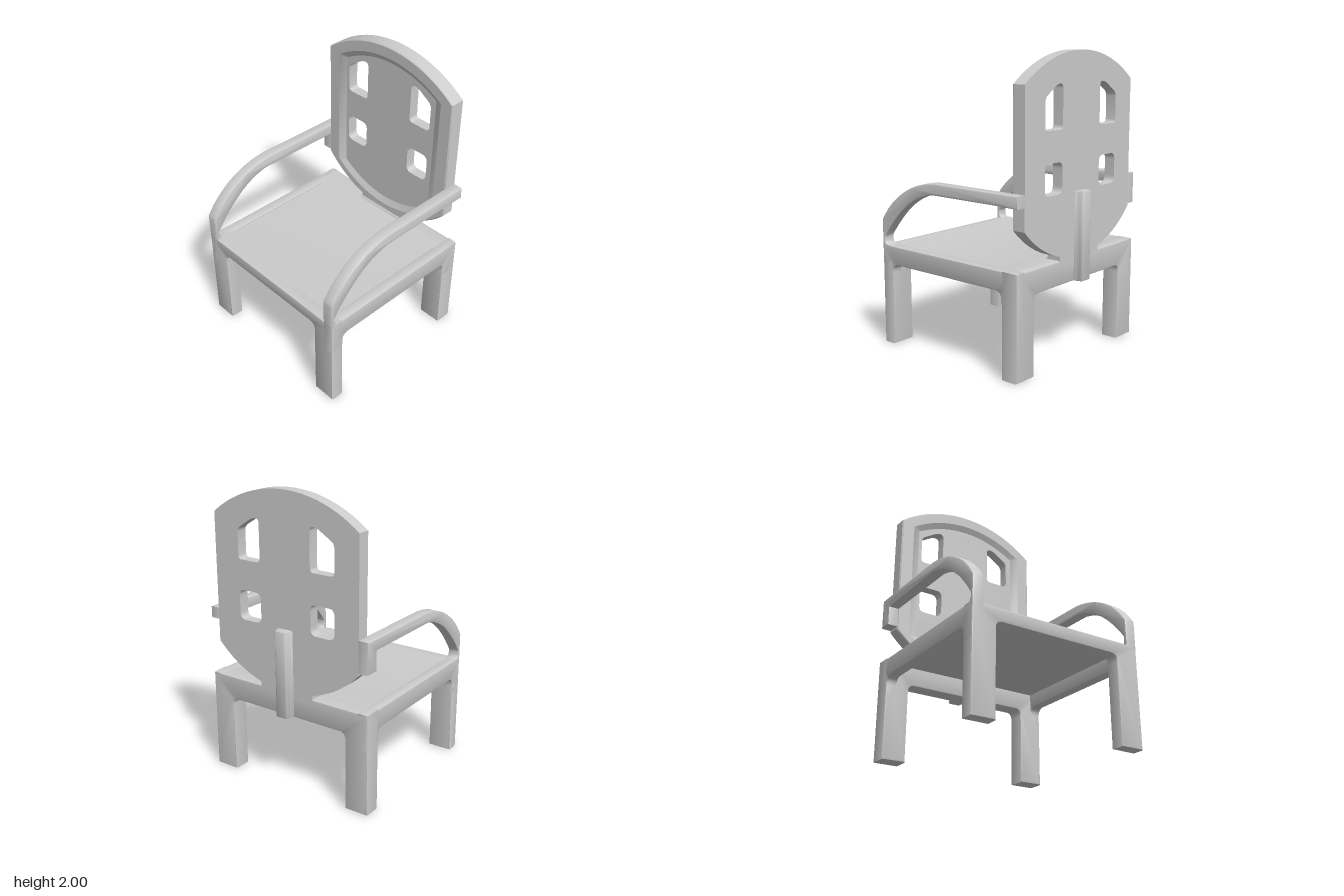
import * as THREE from 'three';
import { toCreasedNormals, mergeVertices } from 'three/addons/utils/BufferGeometryUtils.js';

const material = new THREE.MeshStandardMaterial({ color: 0xcccccc, side: THREE.DoubleSide });

function mesh(name, geometry) {
  const m = new THREE.Mesh(geometry, material);
  m.name = name;
  return m;
}

function polygon(points) {
  return new THREE.Shape(points.map(([x, y]) => new THREE.Vector2(x, y)));
}

// Extrude a shape from z0 to z1 with softly rounded edges
function slab(shape, z0, z1, b = 0.012) {
  const g = new THREE.ExtrudeGeometry(shape, {
    depth: z1 - z0 - 2 * b, curveSegments: 12, bevelEnabled: b > 0,
    bevelSize: b, bevelThickness: b, bevelOffset: -b, bevelSegments: 2,
  });
  g.translate(0, 0, z0 + b);
  return toCreasedNormals(g, 0.6);
}

// Same, for a profile drawn in (z, y) and extruded along x
function sideSlab(shape, x0, x1, b) {
  return slab(shape, -x1, -x0, b).rotateY(-Math.PI / 2);
}

// Two legs joined by a rail, with rounded inner corners
function legFrame(a0, a1, b0, b1, railBottom, foot, r, top = 0.69) {
  const s = new THREE.Shape();
  s.moveTo(a0, foot);
  s.lineTo(a1, foot);
  s.lineTo(a1, railBottom - r);
  s.quadraticCurveTo(a1, railBottom, a1 + r, railBottom);
  s.lineTo(b0 - r, railBottom);
  s.quadraticCurveTo(b0, railBottom, b0, railBottom - r);
  s.lineTo(b0, foot);
  s.lineTo(b1, foot);
  s.lineTo(b1, top);
  s.lineTo(a0, top);
  s.closePath();
  return s;
}

// Polygon with rounded corners
function roundedPath(points, r) {
  const path = new THREE.Path();
  const pts = points.map(([x, y]) => new THREE.Vector2(x, y));
  pts.forEach((p, i) => {
    const toward = (q) => p.clone().add(q.clone().sub(p).setLength(r));
    const a = toward(pts[(i + pts.length - 1) % pts.length]);
    const b = toward(pts[(i + 1) % pts.length]);
    if (i === 0) path.moveTo(a.x, a.y);
    else path.lineTo(a.x, a.y);
    path.quadraticCurveTo(p.x, p.y, b.x, b.y);
  });
  path.closePath();
  return path;
}

// Backrest outline: arched top, straight sides, rounded bottom
function backOutline(halfWidth, top, bottom) {
  const pts = [];
  const n = 32, topR = top - 1.109, lowR = 1.443 - bottom;
  for (let i = 0; i <= n; i++) {
    const a = Math.asin(halfWidth / lowR) * (2 * i / n - 1);
    pts.push(new THREE.Vector2(lowR * Math.sin(a), 1.443 - lowR * Math.cos(a)));
  }
  for (let i = 0; i <= n; i++) {
    const a = Math.asin(halfWidth / topR) * (1 - 2 * i / n);
    pts.push(new THREE.Vector2(topR * Math.sin(a), 1.109 + topR * Math.cos(a)));
  }
  return pts;
}

// Closed strip between two outlines of equal length
function loft(a, za, b, zb) {
  const pos = [], index = [], n = a.length;
  for (let i = 0; i < n; i++) pos.push(a[i].x, a[i].y, za, b[i].x, b[i].y, zb);
  for (let i = 0; i < n; i++) {
    const p = 2 * i, q = 2 * ((i + 1) % n);
    index.push(p, q, p + 1, q, q + 1, p + 1);
  }
  const g = new THREE.BufferGeometry();
  g.setAttribute('position', new THREE.Float32BufferAttribute(pos, 3));
  g.setIndex(index);
  return toCreasedNormals(mergeVertices(g), 0.6);
}

function createBackrest() {
  const group = new THREE.Group();
  group.name = 'backrest';
  const outer = backOutline(0.555, 2.0, 0.69);
  const rimOuter = backOutline(0.547, 1.992, 0.698);
  const rimInner = backOutline(0.46, 1.92, 0.745);
  const floorEdge = backOutline(0.405, 1.88, 0.79);
  const back = -0.57, floor = -0.495, front = -0.473;

  // Panel with four window openings
  const panel = new THREE.Shape(outer);
  for (const [x0, x1, s] of [[0.19, 0.365, 1], [0.2, 0.38, -1]]) {
    panel.holes.push(roundedPath(
      [[s * x0, 1.12], [s * x1, 1.12], [s * x1, 1.32], [s * x0, 1.32]], 0.045));
    panel.holes.push(roundedPath(
      [[s * x0, 1.52], [s * x1, 1.52], [s * x1, 1.72], [s * (x0 + 0.05), 1.8], [s * x0, 1.8]], 0.03));
  }
  group.add(mesh('backPanel', slab(panel, back, floor, 0)));

  // Raised rim: outer wall, softened edge, flat face and slope to the panel
  const face = new THREE.Shape(rimOuter);
  face.holes.push(new THREE.Path(rimInner));
  group.add(mesh('rimWall', loft(outer, floor, outer, front - 0.008)));
  group.add(mesh('rimEdge', loft(outer, front - 0.008, rimOuter, front)));
  group.add(mesh('rimFace', new THREE.ShapeGeometry(face).translate(0, 0, front)));
  group.add(mesh('rimSlope', loft(rimInner, front, floorEdge, floor)));

  // Foot joining the panel to the seat
  const foot = polygon([[back, 0.66], [-0.45, 0.66], [-0.458, 0.69], [front, 0.705], [front, 0.735], [back, 0.735]]);
  group.add(mesh('backFoot', sideSlab(foot, -0.205, 0.205, 0)));

  // Flared brace behind the panel
  const brace = roundedPath([[-0.068, 0.555], [0.068, 0.555], [0.048, 0.59], [0.043, 0.626],
    [-0.043, 0.626], [-0.048, 0.59]], 0.012);
  const braceGeometry = slab(new THREE.Shape(brace.getPoints(4)), 0.53, 1.12, 0.008);
  group.add(mesh('backBrace', braceGeometry.rotateX(-Math.PI / 2)));
  return group;
}

// Curved arm; tailBottom is how far its rear end reaches down the backrest
function createArm(x0, tailBottom) {
  const s = new THREE.Shape();
  s.moveTo(0.625, 0.66);
  s.lineTo(0.625, 0.865);
  s.bezierCurveTo(0.53, 1.025, 0.34, 1.145, 0.13, 1.16);
  s.lineTo(-0.57, 1.16);
  s.lineTo(-0.57, tailBottom);
  s.lineTo(-0.473, tailBottom);
  s.lineTo(-0.473, 1.084);
  s.lineTo(0.14, 1.084);
  s.bezierCurveTo(0.34, 1.06, 0.49, 0.9, 0.6, 0.75);
  s.quadraticCurveTo(0.605, 0.7, 0.57, 0.69);
  s.lineTo(0.57, 0.66);
  s.closePath();
  return sideSlab(s, x0, x0 + 0.08, 0.01);
}

export function createModel() {
  const model = new THREE.Group();
  model.name = 'armchair';

  // Front and back leg frames
  model.add(mesh('frontLegs', slab(legFrame(-0.625, -0.457, 0.457, 0.625, 0.6, 0, 0.045), 0.527, 0.625)));
  model.add(mesh('backLegs', slab(legFrame(-0.625, -0.457, 0.457, 0.625, 0.53, 0, 0.045), -0.57, -0.443)));

  // Seat board with a shallow dip
  const seat = polygon([[-0.55, 0.655], [0.6, 0.655], [0.6, 0.69], [0.5, 0.69],
    [0.43, 0.68], [-0.35, 0.68], [-0.42, 0.69], [-0.55, 0.69]]);
  model.add(mesh('seat', sideSlab(seat, -0.56, 0.56, 0)));

  // Side rails with corner fillets, and the arms
  const rail = legFrame(-0.57, -0.443, 0.527, 0.625, 0.56, 0.45, 0.055);
  for (const [name, x0, tailBottom] of [['left', 0.545, 1.082], ['right', -0.625, 0.95]]) {
    model.add(mesh(name + 'SideRail', sideSlab(rail, x0, x0 + 0.08)));
    model.add(mesh(name + 'Arm', createArm(x0, tailBottom)));
  }

  model.add(createBackrest());
  return model;
}
